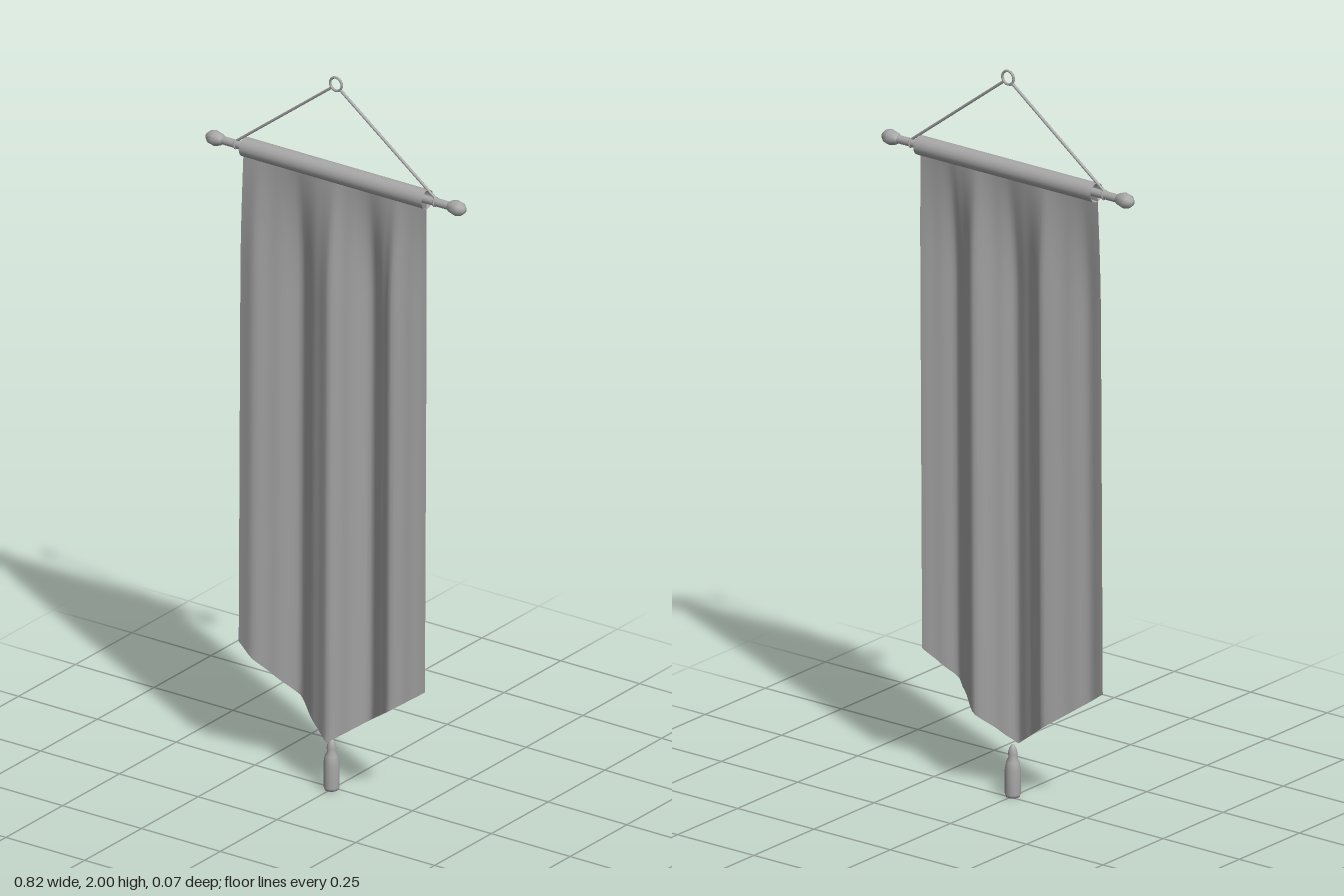
import * as THREE from 'three';

const ROD_Y = 1.728, ROD_Z = -0.01;
const HALF = 0.29; // half width of the cloth

export function createModel() {
  const group = new THREE.Group();
  group.name = 'hangingBanner';
  const grey = new THREE.MeshStandardMaterial({ color: 0xa8a8a8, side: THREE.DoubleSide });
  grey.name = 'plainGrey';

  const add = (name, geometry, x = 0, y = 0, z = 0) => {
    const mesh = new THREE.Mesh(geometry, grey);
    mesh.name = name;
    mesh.position.set(x, y, z);
    group.add(mesh);
    return mesh;
  };
  const lathe = (points, sides) =>
    new THREE.LatheGeometry(points.map(([r, y]) => new THREE.Vector2(r, y)), sides);

  // Cloth: a sheet with soft vertical folds that flatten towards the rod
  const folds = [
    [-0.29, 0.006], [-0.245, 0.014], [-0.19, -0.005], [-0.12, -0.031], [-0.05, 0.006],
    [0, 0.023], [0.04, 0.003], [0.105, -0.031], [0.165, 0.006], [0.195, 0.023],
    [0.24, 0.006], [0.29, -0.009],
  ];
  const foldDepth = (x) => {
    let i = 0;
    while (i < folds.length - 2 && x > folds[i + 1][0]) i++;
    const [x0, z0] = folds[i], [x1, z1] = folds[i + 1];
    return z0 + (z1 - z0) * THREE.MathUtils.smoothstep(x, x0, x1) * 0.5
      + (z1 - z0) * ((x - x0) / (x1 - x0)) * 0.5;
  };
  const cloth = new THREE.PlaneGeometry(2 * HALF, 1, 58, 40);
  const pos = cloth.attributes.position;
  for (let i = 0; i < pos.count; i++) {
    const x = pos.getX(i);
    const down = 0.5 - pos.getY(i);
    const bottom = 0.14 + 0.205 * Math.abs(x) / HALF; // pointed hem
    const y = THREE.MathUtils.lerp(ROD_Y - 0.005, bottom, down);
    const strength = Math.sin(Math.min(1, (ROD_Y - y) / 0.36) * Math.PI / 2);
    const z = THREE.MathUtils.lerp(ROD_Z + 0.004, foldDepth(x), strength) + 0.01 * down;
    pos.setXYZ(i, x, y, z);
  }
  cloth.computeVertexNormals();
  add('cloth', cloth);

  // Sleeve wrapped round the rod
  add('sleeve', new THREE.CylinderGeometry(0.026, 0.026, 2 * HALF, 20, 1, true), 0, ROD_Y, ROD_Z)
    .rotation.z = Math.PI / 2;

  // Rod with a rounded knob at each end
  add('rod', new THREE.CylinderGeometry(0.011, 0.011, 0.74, 12), 0, ROD_Y, ROD_Z)
    .rotation.z = Math.PI / 2;
  const knob = lathe([[0.011, 0], [0.016, 0.006], [0.021, 0.025], [0.018, 0.04], [0.009, 0.05], [0, 0.052]], 10);
  const ringY = 1.978;
  for (const side of [-1, 1]) {
    const label = side > 0 ? 'left' : 'right';
    add(label + 'Knob', knob, side * 0.358, ROD_Y, ROD_Z).rotation.z = -side * Math.PI / 2;

    // Cord from the ring down to a loop on the rod
    const cord = new THREE.LineCurve3(
      new THREE.Vector3(side * 0.014, ringY - 0.013, ROD_Z),
      new THREE.Vector3(side * 0.318, ROD_Y + 0.008, ROD_Z));
    add(label + 'Cord', new THREE.TubeGeometry(cord, 1, 0.004, 6));
    add(label + 'CordLoop', new THREE.TorusGeometry(0.011, 0.003, 6, 14), side * 0.316, ROD_Y, ROD_Z)
      .rotation.y = Math.PI / 2;
  }

  // Hanging ring
  add('ring', new THREE.TorusGeometry(0.0185, 0.0035, 8, 20), 0, ringY, ROD_Z);

  // Tassel below the point of the cloth
  add('tassel', lathe([
    [0, 0.004], [0.018, 0.002], [0.021, 0.01], [0.021, 0.075], [0.017, 0.098], [0.011, 0.11],
    [0.013, 0.118], [0.01, 0.132], [0.005, 0.142], [0, 0.145],
  ], 12), 0, 0, 0.01);

  return group;
}
